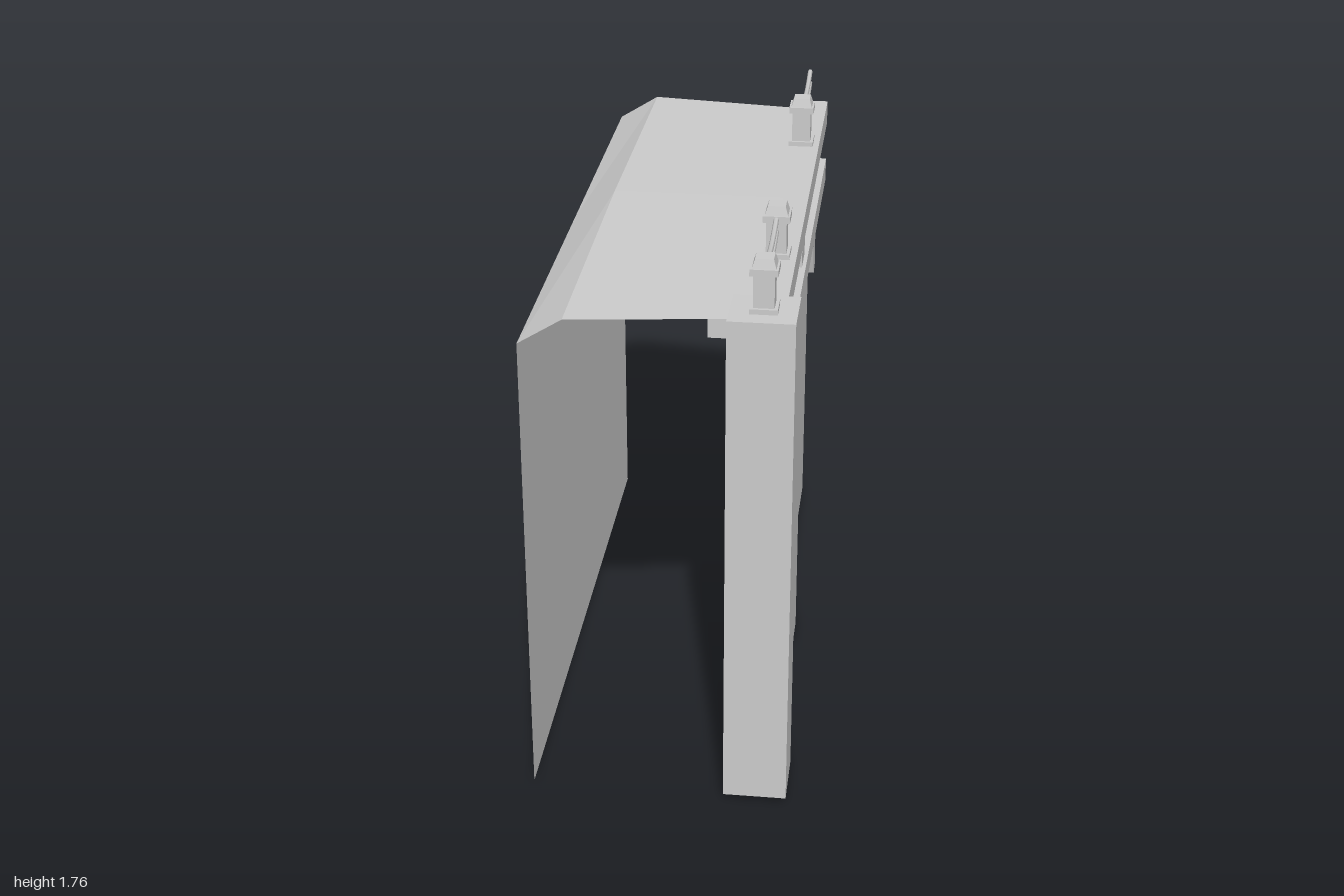
import * as THREE from 'three';

const material = new THREE.MeshStandardMaterial({ color: 0xcccccc, flatShading: true, side: THREE.DoubleSide });
const smooth = new THREE.MeshStandardMaterial({ color: 0xcccccc, side: THREE.DoubleSide });
const WALL_X = 0.302;
const RAIL_X = 0.297;

export function createModel() {
  const model = new THREE.Group();

  const add = (name, geometry, parent = model, mat = material) => {
    const mesh = new THREE.Mesh(geometry, mat);
    mesh.name = name;
    parent.add(mesh);
  };

  // Box from ranges; openBottom drops the underside
  const box = (name, [x0, x1], [y0, y1], [z0, z1], openBottom = false, parent = model) => {
    const g = new THREE.BoxGeometry(x1 - x0, y1 - y0, z1 - z0);
    g.translate((x0 + x1) / 2, (y0 + y1) / 2, (z0 + z1) / 2);
    if (openBottom) {
      const index = Array.from(g.index.array);
      index.splice(18, 6);
      g.clearGroups();
      g.setIndex(index);
    }
    add(name, g, parent);
  };

  // Sheet joining cross-sections with matching points, from +z to -z
  const sheet = (name, sections) => {
    const index = [];
    const n = sections[0].length;
    for (let s = 0; s < sections.length - 1; s++) {
      for (let i = s * n; i < s * n + n - 1; i++) {
        index.push(i, i + 1, n + i, i + 1, n + i + 1, n + i);
      }
    }
    const g = new THREE.BufferGeometry();
    g.setAttribute('position', new THREE.Float32BufferAttribute(sections.flat(2), 3));
    g.setIndex(index);
    const split = g.toNonIndexed();
    split.computeVertexNormals();
    add(name, split);
  };

  // Rear wall, and a bent roof slightly raised at mid-length
  sheet('backWall', [0.975, -1].map((z) => [[-0.39, 1.49, z], [-0.39, 0, z]]));
  sheet('roof', [[0.905, 0.975, 1.57], [0, 0, 1.586], [-0.93, -1, 1.57]].map(([zFront, zRear, y]) =>
    [[0.285, y, zFront], [-0.26, y, zRear], [-0.39, 1.49, zRear]]));

  // Facade wall
  const wall = new THREE.PlaneGeometry(1.76, 1.527);
  add('facadeWall', wall.rotateY(Math.PI / 2).translate(WALL_X, 0.8065, -0.05));

  // Panels set through the wall under the top beam
  for (const span of [[0.145, 0.755], [-0.7, -0.095]]) {
    box('panel', [0.122, 0.333], [1.436, 1.54], span);
  }

  // Posts and beams
  box('cornerPillar', [0.2, 0.392], [0.018, 1.6], [0.81, 1], true);
  box('middlePost', [0.249, 0.345], [0, 1.53], [-0.03, 0.086], true);
  box('topBeam', [0.277, 0.357], [1.52, 1.6], [-0.93, 0.82]);
  box('lowerBeam', [0.277, 0.357], [1.308, 1.387], [-0.93, 0.82]);

  // Faceted arch ribs, drawn in (-z, y) and turned to face +x
  const inner = [[0.4, 0.997], [0.364, 1.112], [0.3, 1.178], [0.166, 1.252], [0, 1.273]];
  const outer = [[0.47, 1.012], [0.44, 1.13], [0.364, 1.227], [0.2, 1.312], [0, 1.342]];
  const mirrored = (side) => side.slice(0, -1).reverse().map(([u, v]) => [-u, v]);
  const outline = [...inner, ...mirrored(inner), ...[...outer, ...mirrored(outer)].reverse()];
  for (const z of [0.46, -0.4]) {
    const shape = new THREE.Shape(outline.map(([u, v]) => new THREE.Vector2(u - z, v)));
    const rib = new THREE.ExtrudeGeometry(shape, { depth: 0.03, bevelEnabled: false });
    add('archRib', rib.rotateY(Math.PI / 2).translate(WALL_X - 0.001, 0, 0));
  }

  // Rooftop bollards
  for (const z of [0.905, 0.505, -0.485]) {
    const bollard = new THREE.Group();
    bollard.name = 'bollard';
    bollard.position.set(RAIL_X, 1.6, z);
    model.add(bollard);
    const block = (name, half, y0, y1) =>
      box(name, [-half, half], [y0, y1], [-half, half], false, bollard);
    block('bollardBase', 0.04, 0, 0.015);
    block('bollardShaft', 0.03, 0.015, 0.115);
    block('bollardCap', 0.04, 0.113, 0.133);
    const top = new THREE.CylinderGeometry(0.026 * Math.SQRT2, 0.034 * Math.SQRT2, 0.027, 4);
    add('bollardTop', top.rotateY(Math.PI / 4).translate(0, 0.1465, 0), bollard);
  }

  // Sagging rope pairs
  for (const [z0, z1] of [[0.885, 0.525], [-0.505, -0.866]]) {
    for (const y of [1.728, 1.687]) {
      const curve = new THREE.QuadraticBezierCurve3(
        new THREE.Vector3(RAIL_X, y, z0),
        new THREE.Vector3(RAIL_X, y - 0.044, (z0 + z1) / 2),
        new THREE.Vector3(RAIL_X, y, z1));
      add('rope', new THREE.TubeGeometry(curve, 10, 0.008, 6), model, smooth);
    }
  }

  return model;
}
